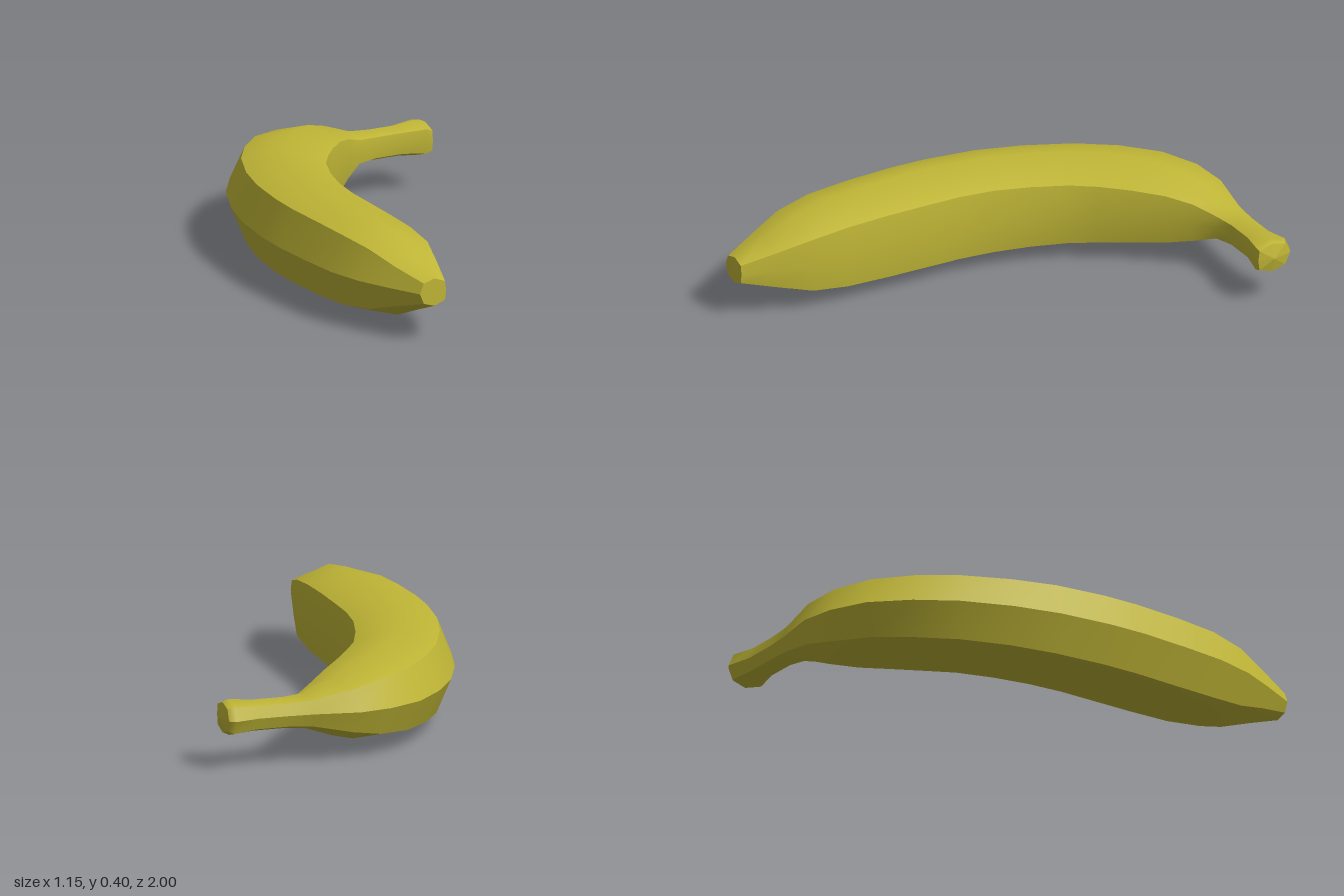
import * as THREE from 'three';

// Stations from blossom tip to stem: outer x, z, inner x, z, half height
const STATIONS = [
  [-0.345, 0.995, -0.23, 0.985, 0.055],
  [-0.42, 0.86, -0.197, 0.85, 0.107],
  [-0.485, 0.73, -0.165, 0.70, 0.163],
  [-0.53, 0.58, -0.165, 0.55, 0.188],
  [-0.555, 0.40, -0.173, 0.38, 0.196],
  [-0.575, 0.20, -0.18, 0.20, 0.198],
  [-0.577, 0.05, -0.185, 0.06, 0.198],
  [-0.56, -0.17, -0.175, -0.08, 0.196],
  [-0.52, -0.36, -0.145, -0.22, 0.19],
  [-0.45, -0.56, -0.10, -0.36, 0.184],
  [-0.36, -0.72, -0.045, -0.46, 0.178],
  [-0.245, -0.86, 0.02, -0.56, 0.166],
  [-0.11, -0.94, 0.10, -0.67, 0.148],
  [0.02, -0.975, 0.17, -0.755, 0.115],
  [0.20, -0.96, 0.24, -0.82, 0.07],
  [0.30, -0.96, 0.32, -0.845, 0.062],
  [0.43, -0.97, 0.44, -0.855, 0.062],
  [0.525, -1.0, 0.535, -0.84, 0.071],
  [0.55, -0.985, 0.56, -0.845, 0.06],
];

// Cross-section: position from outer (0) to inner (1) side, relative height
const SECTION = [
  [0, 0], [0.145, 0.74], [0.55, 1], [0.96, 0.68],
  [1, 0], [0.96, -0.68], [0.55, -1], [0.145, -0.74],
];
const MID_Y = 0.198;

function ringPoint(i, j) {
  const [ox, oz, ix, iz, h] = STATIONS[i];
  const [t, y] = SECTION[j % SECTION.length];
  return [ox + (ix - ox) * t, MID_Y + y * h, oz + (iz - oz) * t];
}

function makeGeometry(positions, index) {
  const g = new THREE.BufferGeometry();
  g.setAttribute('position', new THREE.Float32BufferAttribute(positions, 3));
  if (index) g.setIndex(index);
  g.computeVertexNormals();
  return g;
}

// One smooth lengthwise side of the peel, between two sharp ridges
function peelStrip(from, to) {
  const positions = [], index = [];
  const w = to - from + 1;
  for (let i = 0; i < STATIONS.length; i++) {
    for (let j = from; j <= to; j++) positions.push(...ringPoint(i, j));
  }
  for (let i = 0; i < STATIONS.length - 1; i++) {
    for (let j = 0; j < w - 1; j++) {
      const a = i * w + j, b = a + 1, c = a + w, d = c + 1;
      index.push(a, b, c, b, d, c);
    }
  }
  return makeGeometry(positions, index);
}

// Faceted end cap as a fan around its centre
function endCap(station, center, flip) {
  const positions = [];
  for (let j = 0; j < SECTION.length; j++) {
    const p = ringPoint(station, j), q = ringPoint(station, j + 1);
    positions.push(...center, ...(flip ? q : p), ...(flip ? p : q));
  }
  return makeGeometry(positions);
}

export function createModel() {
  const material = new THREE.MeshStandardMaterial({ color: 0xbfb536 });
  const banana = new THREE.Group();
  banana.name = 'banana';
  const add = (name, geometry) => {
    const mesh = new THREE.Mesh(geometry, material);
    mesh.name = name;
    banana.add(mesh);
  };

  // Peel sides, split at the ridges
  add('upperOuterPeel', peelStrip(0, 1));
  add('topPeel', peelStrip(1, 3));
  add('innerPeel', peelStrip(3, 5));
  add('bottomPeel', peelStrip(5, 7));
  add('lowerOuterPeel', peelStrip(7, 8));

  // Ends
  add('blossomTip', endCap(0, [-0.285, MID_Y, 0.99], true));
  add('stemEnd', endCap(STATIONS.length - 1, [0.57, MID_Y, -0.91], false));
  return banana;
}
